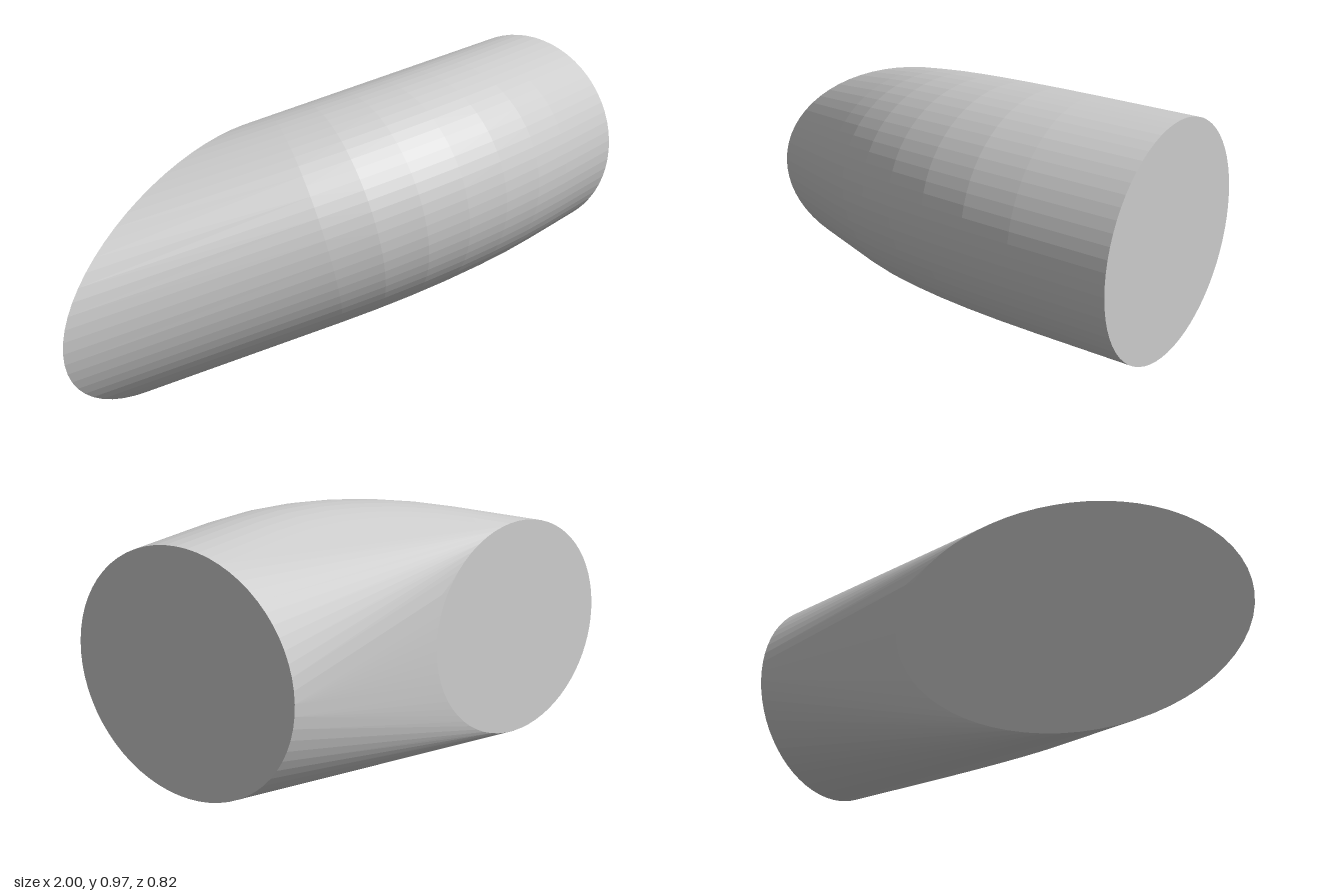
import * as THREE from 'three';
import { ConvexGeometry } from 'three/addons/geometries/ConvexGeometry.js';

const RADIUS = 0.381, SIDES = 64, STEPS = 6;
const BACK_Z = -0.409;
const BEND = THREE.MathUtils.degToRad(38);
const BEND_RADIUS = 1.2;
const CORNER_X = 0.261;
const START = new THREE.Vector3(1, 0.596, 0.028);

// The bend lies in the plane spanned by -x and this tilted backward direction
const tilt = THREE.MathUtils.degToRad(22.5);
const along = new THREE.Vector3(-1, 0, 0);
const inward = new THREE.Vector3(0, -Math.sin(tilt), -Math.cos(tilt));
const across = new THREE.Vector3().crossVectors(along, inward);

// Circle around the bent axis after turning by the given angle
function ring(center, angle) {
  const normal = inward.clone().multiplyScalar(Math.cos(angle)).addScaledVector(along, -Math.sin(angle));
  return Array.from({ length: SIDES }, (_, i) => {
    const a = (i / SIDES) * Math.PI * 2;
    return center.clone()
      .addScaledVector(normal, RADIUS * Math.cos(a))
      .addScaledVector(across, RADIUS * Math.sin(a));
  });
}

export function createModel() {
  const group = new THREE.Group();
  group.name = 'bentPlug';

  // Round end face, then rings through the bend
  const points = ring(START, 0);
  const bendStart = START.clone().setX(CORNER_X + BEND_RADIUS * Math.tan(BEND / 2));
  let last;
  for (let i = 0; i <= STEPS; i++) {
    const a = (BEND * i) / STEPS;
    const center = bendStart.clone()
      .addScaledVector(along, BEND_RADIUS * Math.sin(a))
      .addScaledVector(inward, BEND_RADIUS * (1 - Math.cos(a)));
    last = ring(center, a);
    points.push(...last.filter((p) => p.z > BACK_Z + 0.002));
  }

  // Slanted elliptical face where the bent end meets the back plane
  const exit = along.clone().multiplyScalar(Math.cos(BEND)).addScaledVector(inward, Math.sin(BEND));
  for (const p of last) {
    const q = p.clone().addScaledVector(exit, (BACK_Z - p.z) / exit.z);
    points.push(q.setZ(BACK_Z));
  }

  // Convex skin keeps the inside of the bend straight
  const body = new THREE.Mesh(
    new ConvexGeometry(points),
    new THREE.MeshStandardMaterial({ color: 0xcccccc, flatShading: true })
  );
  body.name = 'body';
  group.add(body);
  return group;
}
